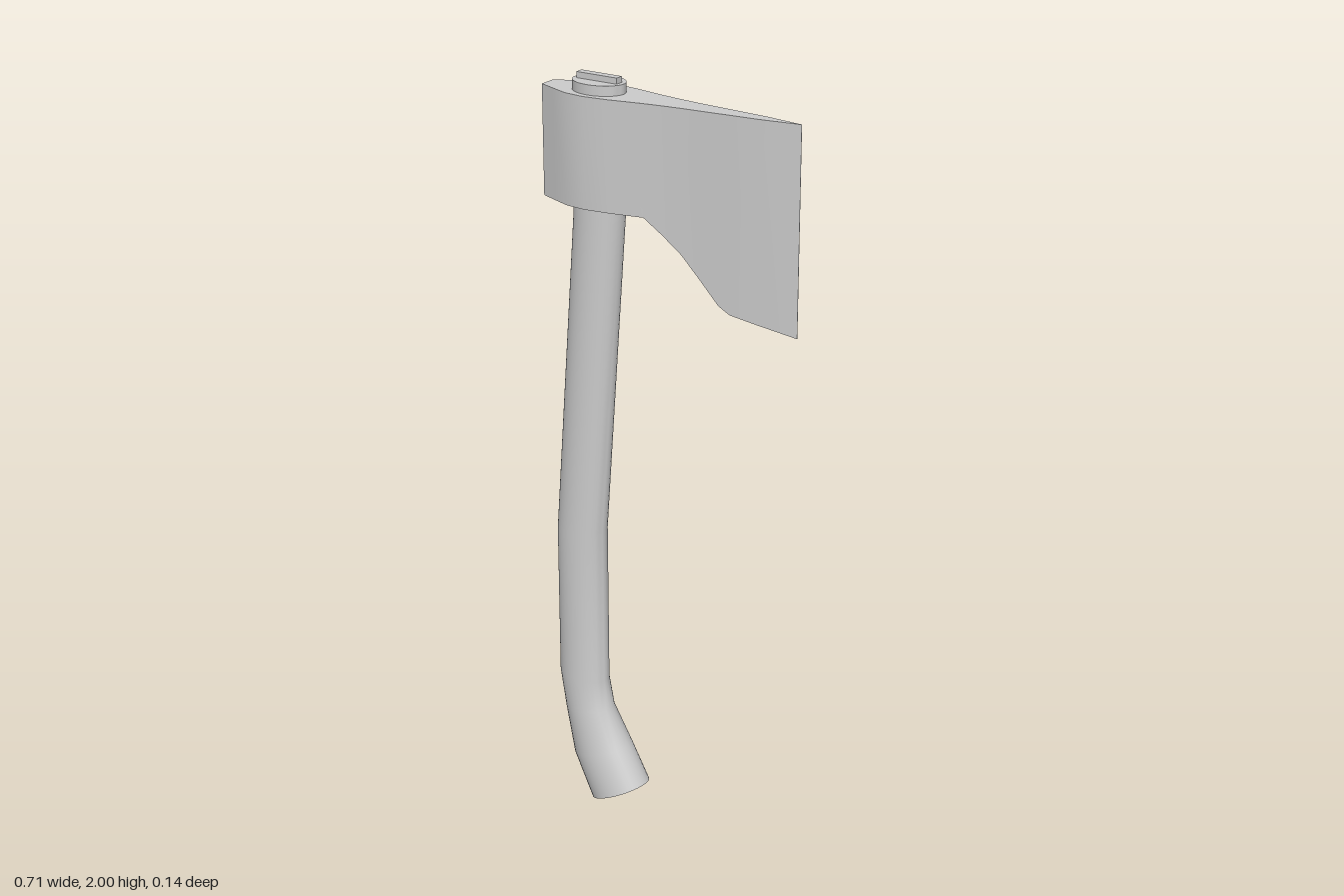
import * as THREE from 'three';
import { toCreasedNormals } from 'three/addons/utils/BufferGeometryUtils.js';

// Skin a list of equal-length rings (counter-clockwise seen from the far end) and cap both ends
function loft(rings, crease) {
  const n = rings[0].length, last = (rings.length - 1) * n, index = [];
  for (let r = 0; r < rings.length - 1; r++) {
    for (let i = 0; i < n; i++) {
      const a = r * n + i, b = r * n + (i + 1) % n;
      index.push(a, b, b + n, a, b + n, a + n);
    }
  }
  for (let i = 1; i < n - 1; i++) {
    index.push(0, i + 1, i, last, last + i, last + i + 1);
  }
  const geometry = new THREE.BufferGeometry();
  geometry.setAttribute('position', new THREE.Float32BufferAttribute(rings.flat(2), 3));
  geometry.setIndex(index);
  return toCreasedNormals(geometry, crease);
}

export function createModel() {
  const group = new THREE.Group();
  const material = new THREE.MeshStandardMaterial({ color: 0xcccccc });
  const add = (name, geometry) => {
    const mesh = new THREE.Mesh(geometry, material);
    mesh.name = name;
    group.add(mesh);
    return mesh;
  };

  // Handle: tilted ellipses given by back edge (x, y), front edge (x, y) and half depth
  const sections = [
    [-0.24, 0.005, -0.08, 0.08, 0.067],
    [-0.297, 0.13, -0.133, 0.178, 0.066],
    [-0.325, 0.26, -0.187, 0.28, 0.053],
    [-0.343, 0.37, -0.202, 0.36, 0.052],
    [-0.343, 0.78, -0.202, 0.8, 0.052],
    [-0.276, 1.65, -0.138, 1.65, 0.052],
    [-0.274, 1.985, -0.133, 1.985, 0.052],
  ];
  const sides = 32;
  add('handle', loft(sections.map(([x0, y0, x1, y1, depth]) =>
    Array.from({ length: sides }, (_, i) => {
      const angle = (i / sides) * Math.PI * 2, c = Math.cos(angle) / 2;
      return [(x0 + x1) / 2 + (x1 - x0) * c, (y0 + y1) / 2 + (y1 - y0) * c, -depth * Math.sin(angle)];
    })), 0.8));

  // Axe head: upright slices given by x, half thickness and bottom height
  const top = 1.96;
  const slices = [
    [-0.355, 0.024, 1.68], [-0.31, 0.043, 1.68], [-0.26, 0.063, 1.68],
    [-0.205, 0.069, 1.68], [-0.14, 0.062, 1.68], [-0.05, 0.045, 1.68],
    [0, 0.038, 1.642], [0.05, 0.032, 1.6], [0.1, 0.028, 1.545],
    [0.15, 0.024, 1.488], [0.18, 0.0215, 1.47], [0.25, 0.016, 1.458],
    [0.355, 0.0005, 1.438],
  ];
  add('axeHead', loft(slices.map(([x, w, bottom]) =>
    [[x, bottom, -w], [x, top, -w], [x, top, w], [x, bottom, w]]), 0.6));

  // Wedge driven into the top of the handle
  add('wedge', new THREE.BoxGeometry(0.116, 0.05, 0.022)).position.set(-0.204, 1.975, 0);

  return group;
}
